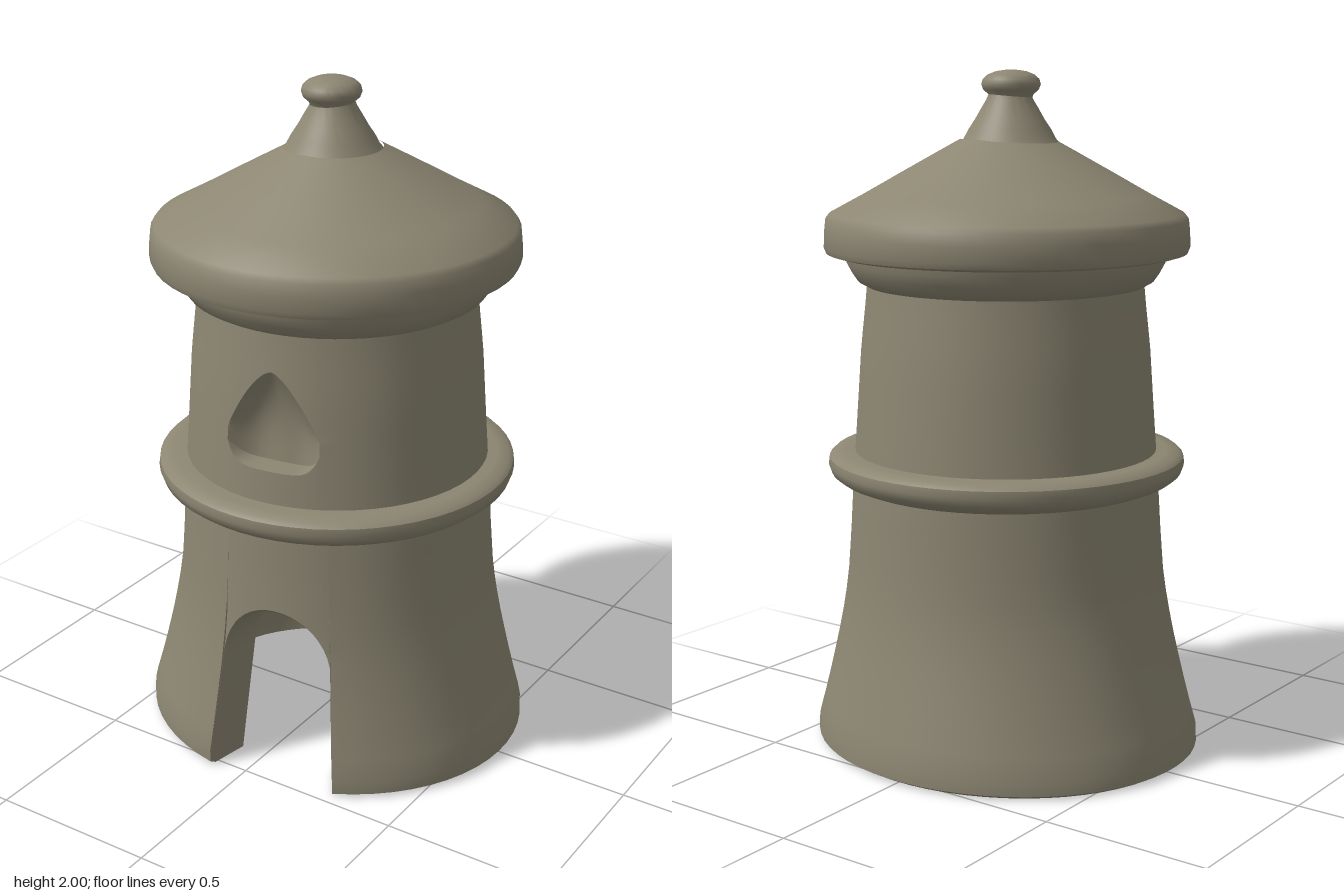
import * as THREE from 'three';
import { toCreasedNormals } from 'three/addons/utils/BufferGeometryUtils.js';

const stone = new THREE.MeshStandardMaterial({ color: 0x8c8672 });
stone.name = 'weathered stone';

// Wall outline: height, radius along x, radius along z
const OUTLINE = [
  [0, 0.588, 0.535], [0.025, 0.6, 0.547], [0.15, 0.562, 0.522], [0.3, 0.524, 0.492], [0.4, 0.502, 0.476],
  [0.5, 0.482, 0.466], [0.65, 0.468, 0.459], [0.8, 0.457, 0.454], [1.0, 0.441, 0.441],
  [1.2, 0.427, 0.427], [1.35, 0.409, 0.412], [1.45, 0.402, 0.404],
];
const DOOR = { from: -0.18, to: 0.51, spring: 0.36, top: 0.545 };
const WINDOW = { centre: 0.125, half: 0.335, depth: 0.075 };

// Point on the wall at an angle and height, pushed inwards by inset
function wallPoint(angle, y, inset = 0, scale = 1) {
  let i = 0;
  while (i < OUTLINE.length - 2 && y > OUTLINE[i + 1][0]) i++;
  const [a, b] = [OUTLINE[i], OUTLINE[i + 1]];
  const t = THREE.MathUtils.clamp((y - a[0]) / (b[0] - a[0]), 0, 1);
  const rx = THREE.MathUtils.lerp(a[1], b[1], t) - inset;
  const rz = THREE.MathUtils.lerp(a[2], b[2], t) - inset;
  const lean = 0.01 * Math.min(1, y / 0.5);
  return [lean + Math.sin(angle) * rx * scale, y, lean + Math.cos(angle) * rz * scale];
}

// Skin a list of columns that all hold the same number of points
function skin(columns, crease) {
  const rows = columns[0].length, index = [];
  for (let c = 0; c < columns.length - 1; c++) {
    for (let r = 0; r < rows - 1; r++) {
      const a = c * rows + r, b = a + rows;
      index.push(a, b, b + 1, a, b + 1, a + 1);
    }
  }
  const g = new THREE.BufferGeometry();
  g.setAttribute('position', new THREE.Float32BufferAttribute(columns.flat(2), 3));
  g.setIndex(index);
  return toCreasedNormals(g, crease);
}

function range(from, to, steps) {
  return Array.from({ length: steps + 1 }, (_, i) => from + (to - from) * i / steps);
}

// Hollow lower storey: each column runs ceiling, inner wall, rim, outer wall
function lowerWall() {
  const column = (angle, foot) => {
    const pts = [[0, 0.7, 0], wallPoint(angle, 0.685, 0.13, 0.6), wallPoint(angle, 0.65, 0.13, 0.88)];
    for (const t of range(0, 1, 8)) pts.push(wallPoint(angle, 0.6 + (foot - 0.6) * t, 0.13));
    pts.push(wallPoint(angle, foot, 0.015));
    pts.push(wallPoint(angle, foot + 0.012));
    for (const t of range(0.06, 1, 12)) pts.push(wallPoint(angle, foot + (0.86 - foot) * t));
    return pts;
  };
  const arch = range(-1, 1, 20).map((s) => {
    const u = Math.sin(s * Math.PI / 2);
    const h = DOOR.spring + (DOOR.top - DOOR.spring) * Math.sqrt(Math.max(0, 1 - u * u));
    return column(THREE.MathUtils.lerp(DOOR.from, DOOR.to, (u + 1) / 2), h);
  });
  const solid = range(DOOR.to, DOOR.from + Math.PI * 2, 54).map((a) => column(a, 0));
  return skin([...arch, ...solid, arch[0]], 0.7);
}

// Upper storey with a pointed niche pressed into the front
function upperWall() {
  const { centre, half, depth } = WINDOW;
  const column = (angle) => {
    const u = Math.min(1, Math.abs(angle - centre) / half);
    const sill = 0.985 + 0.06 * u ** 6;
    const head = 1.09 + 0.185 * (1 - u ** 1.6);
    const side = 1 - u ** 4;
    const pts = [0.84, 0.9, 0.95, sill].map((y) => wallPoint(angle, y));
    for (const t of range(0, 1, 10)) {
      pts.push(wallPoint(angle, sill + (head - sill) * t, depth * side * (1 - t ** 3)));
    }
    for (const t of range(0.1, 1, 5)) pts.push(wallPoint(angle, head + (1.44 - head) * t));
    return pts;
  };
  const niche = range(centre - half, centre + half, 24);
  const rest = range(centre + half, centre - half + Math.PI * 2, 50).slice(1);
  return skin([...niche, ...rest].map(column), 0.6);
}

function turned(points, x, z) {
  const g = new THREE.LatheGeometry(points.map(([r, y]) => new THREE.Vector2(r, y)), 56);
  g.translate(x, 0, z);
  return toCreasedNormals(g, 0.65);
}

export function createModel() {
  const tower = new THREE.Group();
  tower.name = 'tower';
  const add = (name, geometry) => {
    const mesh = new THREE.Mesh(geometry, stone);
    mesh.name = name;
    tower.add(mesh);
  };

  add('lowerWall', lowerWall());
  add('upperWall', upperWall());

  // Rounded belt between the storeys
  add('beltCourse', turned([
    [0.44, 0.785], [0.468, 0.795], [0.5, 0.808], [0.522, 0.825], [0.531, 0.85],
    [0.528, 0.872], [0.515, 0.884], [0.48, 0.888], [0.43, 0.89],
  ], 0.01, 0.014));

  // Moulding below the eaves
  add('cornice', turned([
    [0.39, 1.375], [0.408, 1.38], [0.435, 1.395], [0.452, 1.42], [0.468, 1.45], [0.472, 1.49],
  ], 0.005, 0.005));

  // Roof with a thick lip, sweeping up into its cap
  add('roof', turned([
    [0.44, 1.465], [0.5, 1.47], [0.528, 1.478], [0.535, 1.495], [0.533, 1.54], [0.529, 1.575],
    [0.518, 1.59], [0.42, 1.643], [0.3, 1.711], [0.2, 1.767], [0.135, 1.803],
  ], -0.002, 0));
  add('roofCap', turned([
    [0.145, 1.79], [0.133, 1.805], [0.12, 1.83], [0.1, 1.86], [0.083, 1.89], [0.068, 1.915], [0.062, 1.93],
  ], -0.012, 0));
  add('finial', turned([
    [0.06, 1.915], [0.065, 1.93], [0.08, 1.943], [0.086, 1.958], [0.082, 1.973],
    [0.068, 1.986], [0.045, 1.995], [0.02, 1.999], [0, 2],
  ], -0.015, 0.002));

  return tower;
}
